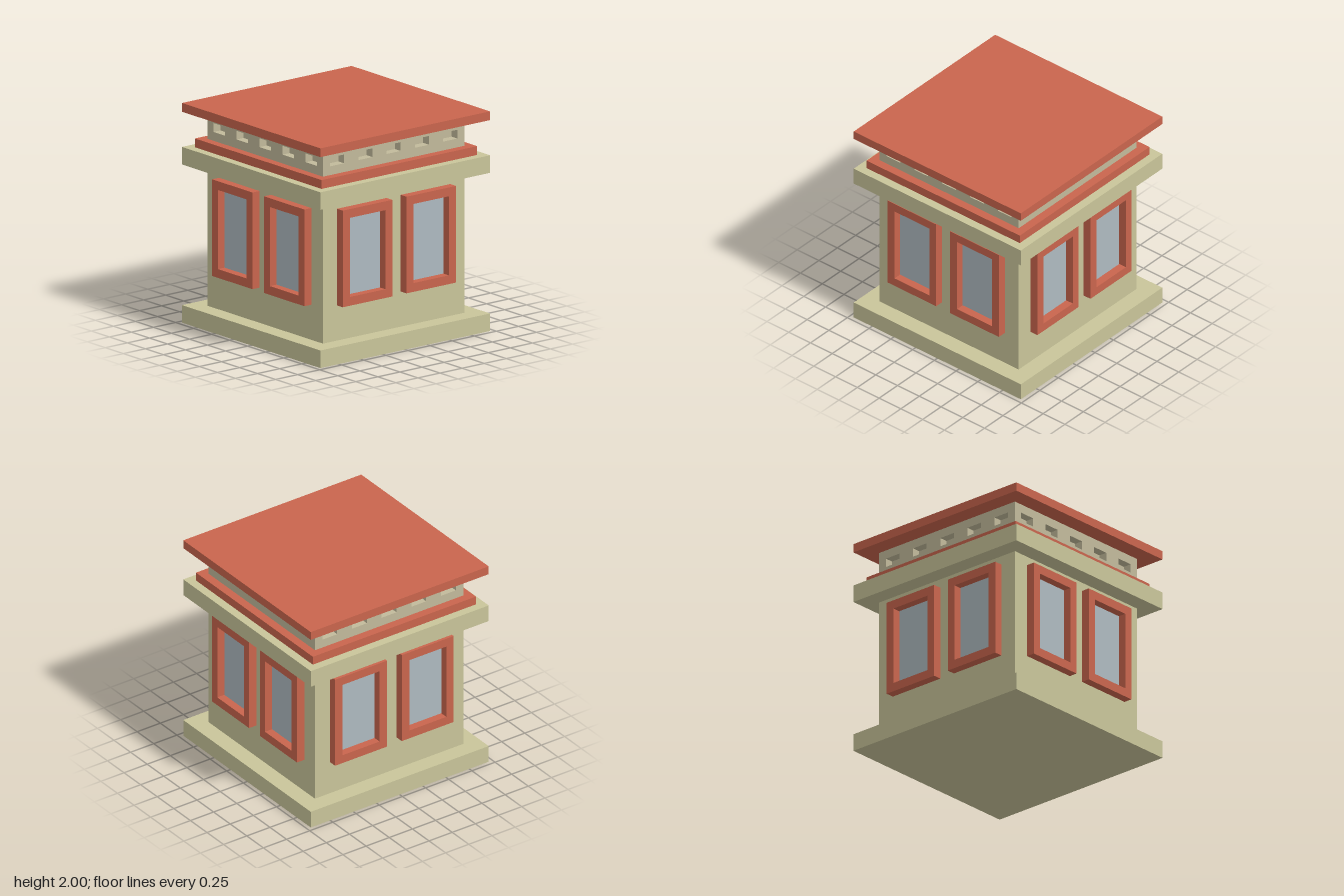
import * as THREE from 'three';

const material = (name, color) => {
  const m = new THREE.MeshStandardMaterial({ color });
  m.name = name;
  return m;
};

// Rectangular outline centred on (x, y)
function rectangle(PathType, x, y, w, h) {
  const p = new PathType();
  p.moveTo(x - w / 2, y - h / 2);
  p.lineTo(x + w / 2, y - h / 2);
  p.lineTo(x + w / 2, y + h / 2);
  p.lineTo(x - w / 2, y + h / 2);
  p.closePath();
  return p;
}

export function createModel() {
  const stone = material('sandstone', 0xc9c59a);
  const attic = material('grey stone', 0xc2ba9b);
  const red = material('terracotta', 0xc9654d);
  const glass = material('pale glass', 0xaebac0);

  const WALL = 0.8, DEPTH = 0.08;
  const model = new THREE.Group();
  model.name = 'building';

  const add = (parent, name, geometry, mat) => {
    const mesh = new THREE.Mesh(geometry, mat);
    mesh.name = name;
    parent.add(mesh);
    return mesh;
  };

  // Square slabs stacked from the ground up
  const slab = (name, half, y0, y1, mat) => {
    add(model, name, new THREE.BoxGeometry(half * 2, y1 - y0, half * 2), mat)
      .position.y = (y0 + y1) / 2;
  };
  slab('plinth', 0.96, 0, 0.16, stone);
  slab('walls', WALL, 0.16, 1.44, stone);
  slab('cornice', 0.96, 1.44, 1.6, stone);
  slab('trimBand', 0.88, 1.6, 1.68, red);
  slab('atticCore', WALL - DEPTH, 1.68, 1.92, attic);
  slab('roof', 0.96, 1.92, 2, red);

  // Attic panel with a row of vent recesses
  const panelShape = rectangle(THREE.Shape, 0, 1.8, WALL * 2, 0.24);
  for (let i = -2; i <= 2; i++) {
    panelShape.holes.push(rectangle(THREE.Path, i * 0.32, 1.8, 0.16, 0.08));
  }
  const panel = new THREE.ExtrudeGeometry(panelShape, { depth: DEPTH, bevelEnabled: false });
  panel.translate(0, 0, WALL - DEPTH);
  // Mitre the panel ends so the four sides meet at the corners
  const pos = panel.attributes.position;
  for (let i = 0; i < pos.count; i++) {
    const x = pos.getX(i);
    if (Math.abs(x) > WALL - 0.01 && pos.getZ(i) < WALL - 0.01) {
      pos.setX(i, Math.sign(x) * (WALL - DEPTH));
    }
  }
  panel.computeVertexNormals();

  // Raised window frame and its pane
  const frameShape = rectangle(THREE.Shape, 0, 0.92, 0.56, 0.88);
  frameShape.holes.push(rectangle(THREE.Path, 0, 0.92, 0.4, 0.72));
  const frame = new THREE.ExtrudeGeometry(frameShape, { depth: DEPTH, bevelEnabled: false });
  const pane = new THREE.BoxGeometry(0.4, 0.72, 0.004);

  // The same facade on all four sides
  ['front', 'left', 'back', 'right'].forEach((side, i) => {
    const facade = new THREE.Group();
    facade.name = side + 'Facade';
    facade.rotation.y = i * Math.PI / 2;
    add(facade, 'atticPanel', panel, attic);
    for (const x of [-0.36, 0.36]) {
      add(facade, 'windowFrame', frame, red).position.set(x, 0, WALL);
      add(facade, 'windowPane', pane, glass).position.set(x, 0.92, WALL + 0.002);
    }
    model.add(facade);
  });

  return model;
}
